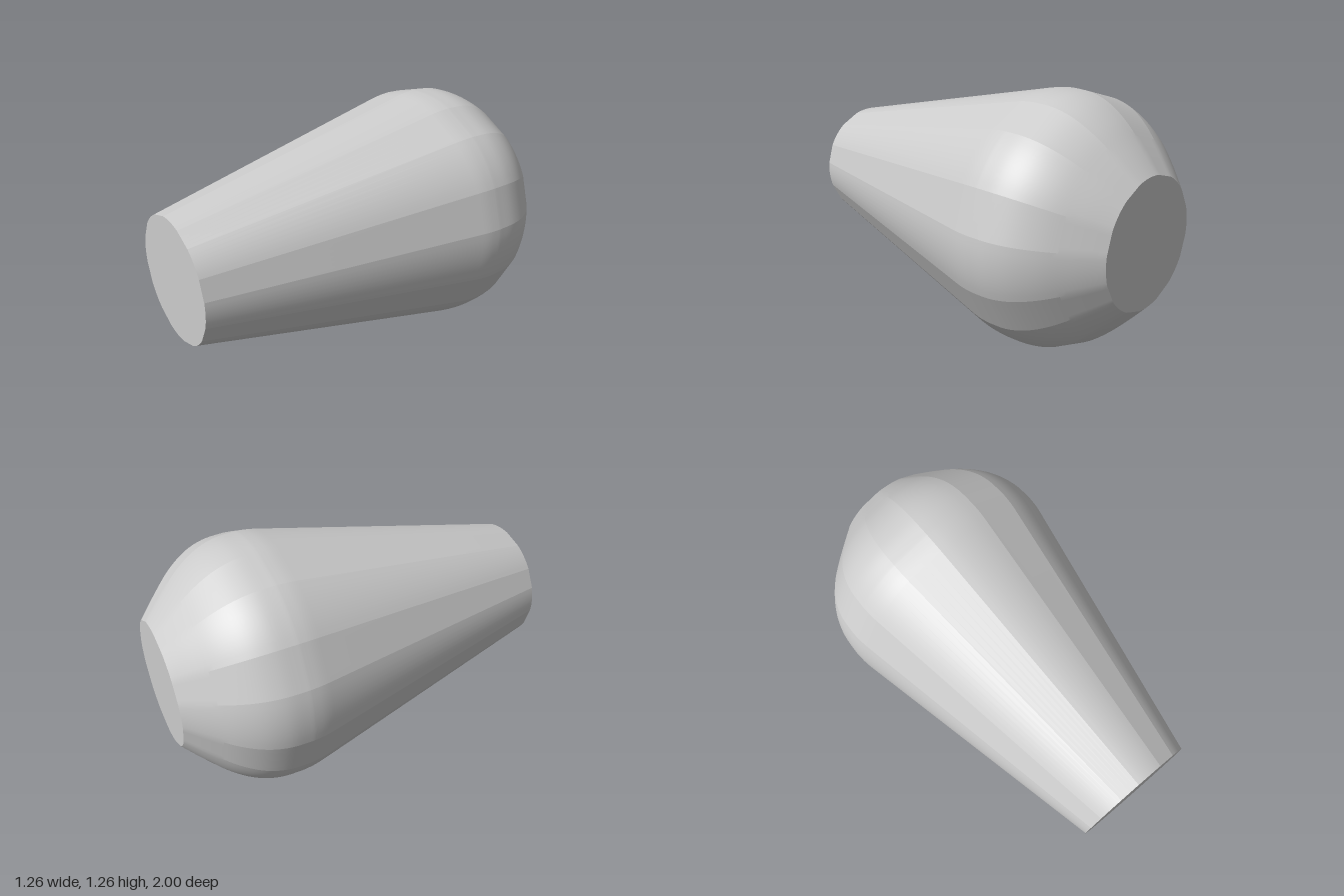
import * as THREE from 'three';
import { toCreasedNormals } from 'three/addons/utils/BufferGeometryUtils.js';

const FLUTES = 8;            // flat facets around the body
const STEPS = 14;            // segments per facet + arc pair
const FLAT = 6;              // of those, segments lying on the flat
const CENTER_Y = 0.63;

// Radius along the axis: straight taper, rounded bulb, 45 degree shoulder
function profile() {
  const bulb = new THREE.SplineCurve([
    [0.629, -0.46], [0.63, -0.5], [0.622, -0.6], [0.588, -0.7], [0.522, -0.8], [0.426, -0.9], [0.318, -1],
  ].map(([r, z]) => new THREE.Vector2(r, z)));
  const taper = new THREE.CubicBezierCurve(
    new THREE.Vector2(0.618, -0.38), new THREE.Vector2(0.624, -0.408),
    new THREE.Vector2(0.628, -0.435), new THREE.Vector2(0.629, -0.46));
  return [
    new THREE.Vector2(0, -1),
    ...bulb.getPoints(30).reverse(),
    ...taper.getPoints(4).reverse().slice(1),
    new THREE.Vector2(0.318, 1),
    new THREE.Vector2(0, 1),
  ];
}

export function createModel() {
  const group = new THREE.Group();
  group.name = 'taperedKnob';

  const segments = FLUTES * STEPS;
  const step = (Math.PI * 2) / segments;
  const points = profile();
  const geometry = new THREE.LatheGeometry(points, segments, THREE.MathUtils.degToRad(6.9), Math.PI * 2);

  // Press each facet flat between its two edge lines
  const pos = geometry.attributes.position;
  const half = (FLAT / 2) * step;
  for (let i = 0; i < pos.count; i++) {
    const k = Math.floor(i / points.length) % STEPS;
    if (k > FLAT) continue;
    const s = Math.cos(half) / Math.cos(k * step - half);
    pos.setX(i, pos.getX(i) * s);
    pos.setZ(i, pos.getZ(i) * s);
  }

  // Lay the axis along z, wide end at the back
  geometry.rotateX(Math.PI / 2);
  geometry.translate(0, CENTER_Y, 0);

  const body = new THREE.Mesh(
    toCreasedNormals(geometry, 0.14),
    new THREE.MeshStandardMaterial({ color: 0xcccccc }));
  body.name = 'knobBody';
  group.add(body);
  return group;
}
